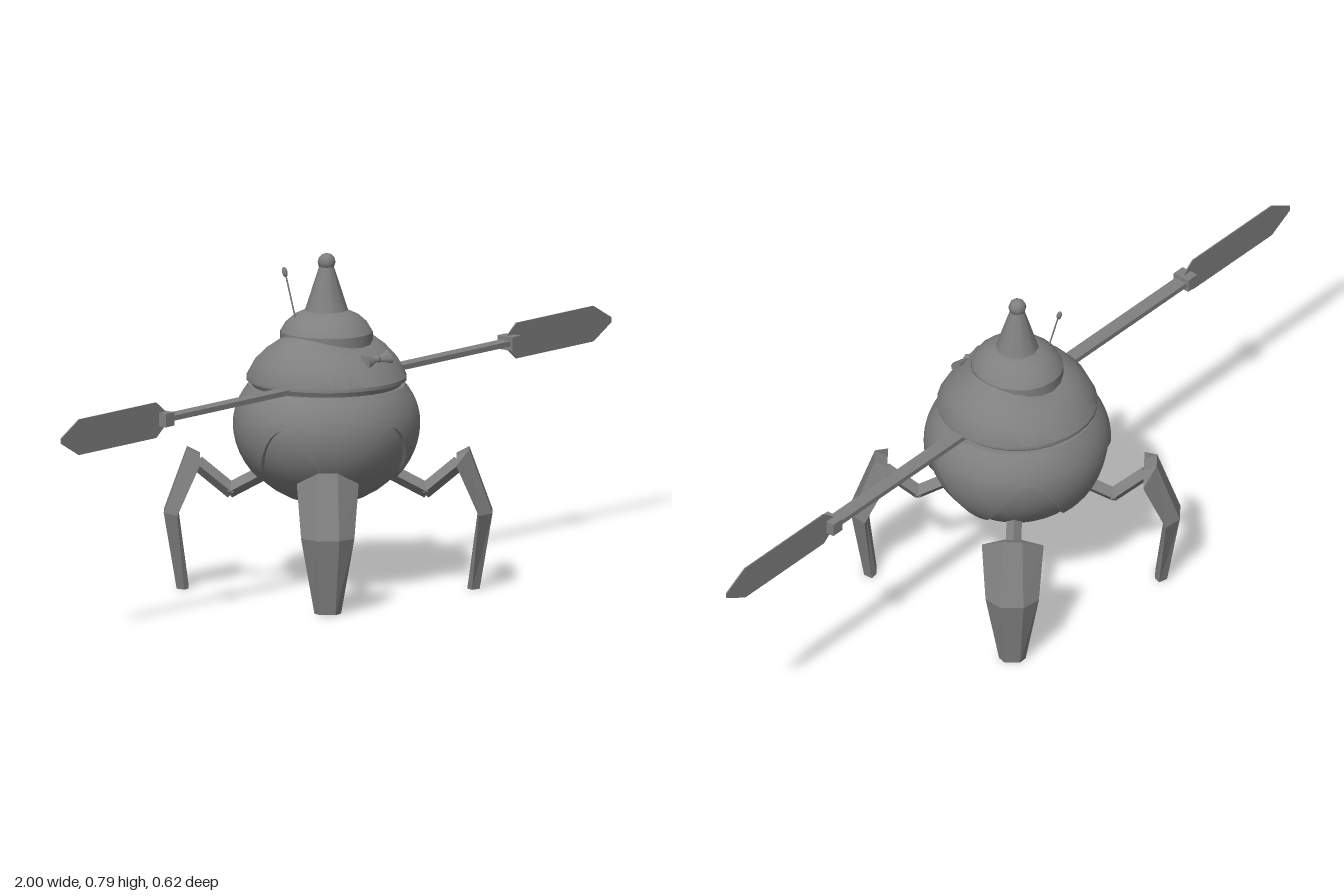
import * as THREE from 'three';
import { toCreasedNormals } from 'three/addons/utils/BufferGeometryUtils.js';

const smooth = new THREE.MeshStandardMaterial({ color: 0x808080, side: THREE.DoubleSide });
const flat = new THREE.MeshStandardMaterial({ color: 0x808080, flatShading: true });

function add(parent, name, geometry, material = smooth, x = 0, y = 0, z = 0) {
  const mesh = new THREE.Mesh(geometry, material);
  mesh.name = name;
  mesh.position.set(x, y, z);
  parent.add(mesh);
  return mesh;
}

const lathe = (pts, sides) =>
  new THREE.LatheGeometry(pts.map(([r, y]) => new THREE.Vector2(r, y)), sides);

// Straight square or round bar between two points
function bar(parent, name, from, to, radius, sides, material) {
  const a = new THREE.Vector3(...from), b = new THREE.Vector3(...to);
  const mesh = add(parent, name, new THREE.CylinderGeometry(radius, radius, a.distanceTo(b), sides), material);
  mesh.position.copy(a).lerp(b, 0.5);
  mesh.quaternion.setFromUnitVectors(new THREE.Vector3(0, 1, 0), b.sub(a).normalize());
}

// Radius of the round lower body at height y
function bodyRadius(y) {
  const t = (y - 0.39) / (y > 0.39 ? 0.168 : 0.193);
  return 0.215 * Math.sqrt(Math.max(0, 1 - t * t));
}

// Outer shell whose lower edge waves in five arches, with a lip turned inward
function shellGeometry() {
  const rows = 12, rowPts = [[0.93, 0]];
  for (let k = 0; k <= rows; k++) rowPts.push([1, k / rows]);
  const geo = lathe(rowPts, 100), p = geo.attributes.position;
  for (let i = 0; i < p.count; i++) {
    const x = p.getX(i), z = p.getZ(i), angle = Math.atan2(x, z);
    const edge = 0.335 + 0.07 * Math.cos(5 * (angle + 0.09));
    const y = edge + (0.48 - edge) * p.getY(i);
    const r = bodyRadius(y) * Math.hypot(x, z);
    p.setXYZ(i, r * Math.sin(angle), y, r * Math.cos(angle));
  }
  return toCreasedNormals(geo, 0.6);
}

// Upper dome, raised a little toward its two sides
function domeGeometry() {
  const geo = lathe([[0.172, 0.478], [0.178, 0.492], [0.187, 0.493], [0.187, 0.501], [0.167, 0.535],
    [0.14, 0.56], [0.105, 0.582], [0.05, 0.592], [0, 0.594]], 32);
  const p = geo.attributes.position;
  for (let i = 0; i < p.count; i++) {
    const x = p.getX(i), y = p.getY(i), z = p.getZ(i);
    const side = x * x / (x * x + z * z + 1e-9);
    if (y > 0.51) p.setY(i, y + 0.25 * (y - 0.5) * side);
  }
  return toCreasedNormals(geo, 0.5);
}

// Curved foot plate lofted through six-sided crescent sections, radial = +x
function footGeometry() {
  // height, outer radius, panel half width, full half width, edge setback, thickness, edge drop
  const levels = [
    [0, 0.352, 0.018, 0.031, 0.018, 0.028, 0],
    [0.18, 0.382, 0.027, 0.062, 0.032, 0.034, 0],
    [0.33, 0.328, 0.023, 0.072, 0.03, 0.03, 0.03],
  ];
  const pos = [], index = [], n = 6;
  for (const [y, r, a, b, d, t, drop] of levels) {
    pos.push(r - d, y - drop, -b, r, y, -a, r, y, a, r - d, y - drop, b,
      r - t, y - drop / 2, a * 0.9, r - t, y - drop / 2, -a * 0.9);
  }
  for (let k = 0; k < levels.length - 1; k++) {
    for (let j = 0; j < n; j++) {
      const a = k * n + j, b = k * n + (j + 1) % n;
      index.push(a, a + n, b, b, a + n, b + n);
    }
  }
  const top = n * (levels.length - 1);
  for (const [a, b, c] of [[0, 1, 5], [1, 2, 4], [1, 4, 5], [2, 3, 4]]) {
    index.push(a, b, c, top + a, top + c, top + b);
  }
  const geo = new THREE.BufferGeometry();
  geo.setAttribute('position', new THREE.Float32BufferAttribute(pos, 3));
  geo.setIndex(index);
  const out = geo.toNonIndexed();
  out.computeVertexNormals();
  return out;
}

function rotorBlade(side) {
  const shape = new THREE.Shape();
  [[0.6, 0], [0.655, 0.042], [0.935, 0.042], [1, 0.006], [1, -0.006], [0.935, -0.042], [0.655, -0.042]]
    .forEach(([x, y], i) => (i ? shape.lineTo(x, y) : shape.moveTo(x, y)));
  const geo = new THREE.ExtrudeGeometry(shape, { depth: 0.003, bevelEnabled: false });
  geo.translate(0, 0, -0.0015);
  if (side < 0) geo.rotateY(Math.PI);
  return geo;
}

export function createModel() {
  const model = new THREE.Group();
  model.name = 'walkingPod';

  const body = new THREE.Group();
  body.name = 'body';
  body.position.set(-0.009, 0, -0.004);
  model.add(body);

  // Lower body, slightly wider than deep: inner hull seen through the arched shell
  const lower = new THREE.Group();
  lower.name = 'lowerBody';
  lower.scale.x = 1.03;
  body.add(lower);
  const hull = [[0, 0.215]];
  for (let i = 0; i <= 14; i++) {
    const y = 0.217 + (0.48 - 0.217) * i / 14;
    hull.push([bodyRadius(y) - 0.008, y]);
  }
  add(lower, 'innerHull', toCreasedNormals(lathe(hull, 32), 0.6));
  add(lower, 'archedShell', shellGeometry());
  add(lower, 'shellTop', new THREE.RingGeometry(0.15, bodyRadius(0.48), 32), smooth, 0, 0.48, 0)
    .rotation.x = -Math.PI / 2;
  add(body, 'dome', domeGeometry());

  // Head, pointed cap and its ball
  add(body, 'head', toCreasedNormals(lathe([[0.11, 0.55], [0.11, 0.606], [0.098, 0.626], [0.078, 0.643],
    [0.05, 0.656], [0, 0.657]], 20), 0.5)).scale.x = 0.95;
  add(body, 'cap', new THREE.CylinderGeometry(0.017, 0.051, 0.105, 10), smooth, 0, 0.7065, 0);
  add(body, 'capBall', new THREE.SphereGeometry(0.021, 8, 6), smooth, 0, 0.769, 0);

  // Antenna leaning back
  bar(body, 'antennaRod', [-0.063, 0.64, -0.042], [-0.063, 0.742, -0.072], 0.002, 6, smooth);
  const tip = add(body, 'antennaTip', new THREE.SphereGeometry(0.0065, 8, 6), smooth, -0.063, 0.745, -0.074);
  tip.scale.y = 1.9;
  tip.rotation.x = -0.3;

  // Bow on the front of the dome
  const bow = new THREE.Group();
  bow.name = 'bow';
  bow.position.set(0.007, 0.555, 0.146);
  bow.rotation.x = -0.75;
  body.add(bow);
  for (const s of [-1, 1]) {
    const wing = add(bow, 'bowWing', new THREE.CylinderGeometry(0.019, 0.007, 0.036, 8), smooth, s * 0.025, 0, 0);
    wing.rotation.z = -s * Math.PI / 2;
    wing.scale.z = 0.55;
  }
  add(bow, 'bowKnot', new THREE.SphereGeometry(0.01, 8, 6));

  // Rotor arm with a hub and a blade at each end
  const rotor = new THREE.Group();
  rotor.name = 'rotor';
  rotor.position.set(0, 0.49, 0.017);
  model.add(rotor);
  add(rotor, 'rotorArm', new THREE.BoxGeometry(1.26, 0.012, 0.034), flat);
  for (const s of [-1, 1]) {
    add(rotor, 'bladeHub', new THREE.BoxGeometry(0.032, 0.032, 0.045), flat, s * 0.63, 0, 0);
    add(rotor, 'blade', rotorBlade(s), flat);
  }

  // Four legs: bent arm and plated foot
  const foot = footGeometry();
  for (let i = 0; i < 4; i++) {
    const leg = new THREE.Group();
    leg.name = 'leg';
    leg.position.x = -0.008;
    leg.rotation.y = 0.69 + i * Math.PI / 2;
    model.add(leg);
    add(leg, 'foot', foot, flat);
    bar(leg, 'upperArm', [0.13, 0.282, 0], [0.232, 0.228, 0], 0.018, 4, flat);
    bar(leg, 'lowerArm', [0.222, 0.226, 0], [0.305, 0.295, 0], 0.018, 4, flat);
  }
  return model;
}
